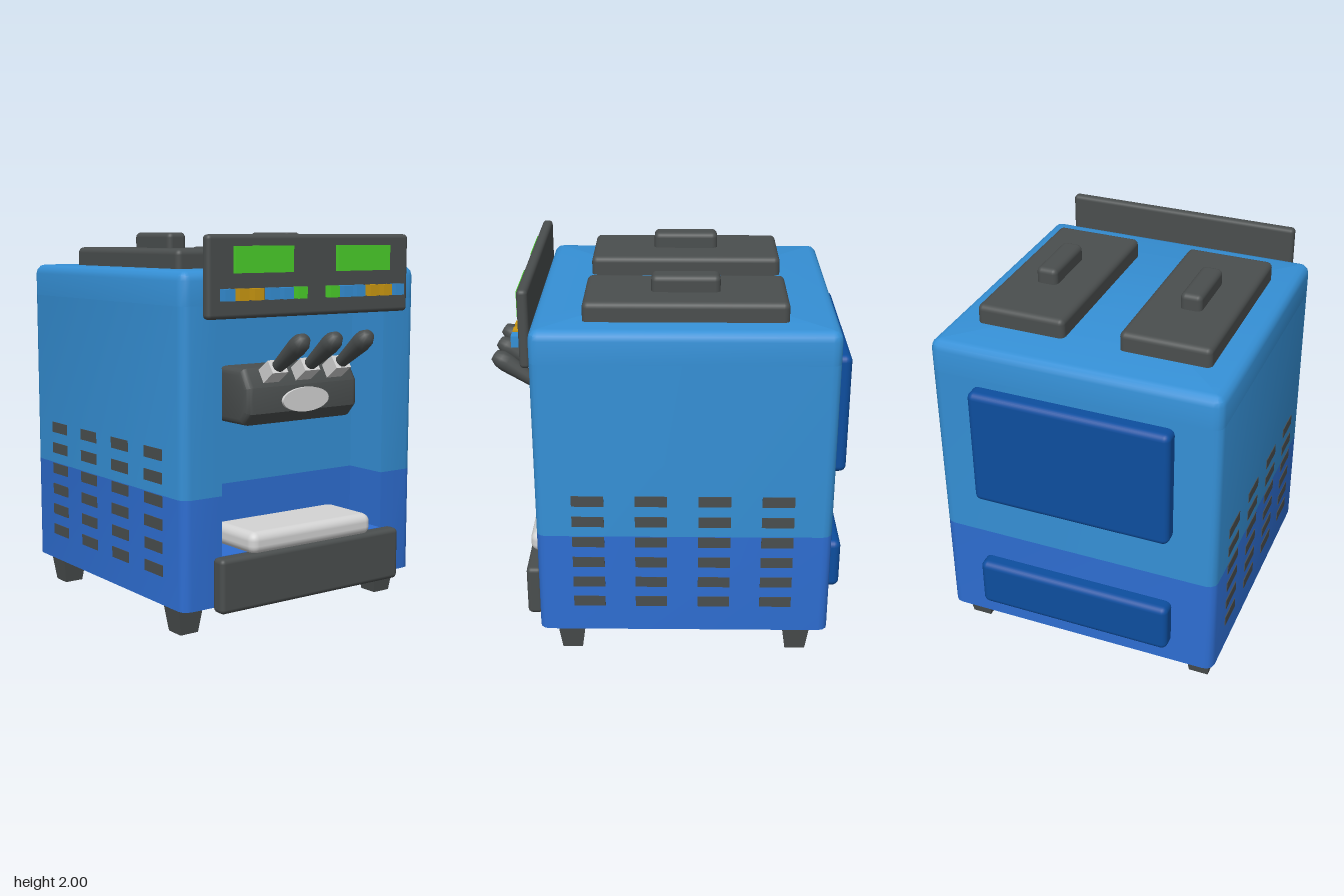
import * as THREE from 'three';
import { toCreasedNormals } from 'three/addons/utils/BufferGeometryUtils.js';
import { RoundedBoxGeometry } from 'three/addons/geometries/RoundedBoxGeometry.js';

const material = (name, color, side = THREE.FrontSide) => {
  const m = new THREE.MeshStandardMaterial({ color, side });
  m.name = name;
  return m;
};

export function createModel() {
  const model = new THREE.Group();
  model.name = 'softServeMachine';

  const upperBlue = material('upper blue', 0x3590d6, THREE.DoubleSide);
  const lowerBlue = material('lower blue', 0x2e6ed2, THREE.DoubleSide);
  const navy = material('navy', 0x0d4e9f);
  const charcoal = material('charcoal', 0x4a4e4e);
  const silver = material('silver', 0xd4d4d4);
  const green = material('green', 0x4bd02b);
  const amber = material('amber', 0xcc9912);

  const add = (name, geometry, mat, x = 0, y = 0, z = 0, parent = model) => {
    const mesh = new THREE.Mesh(geometry, mat);
    mesh.name = name;
    mesh.position.set(x, y, z);
    parent.add(mesh);
    return mesh;
  };
  // Boxes given by their limits on each axis; r > 0 rounds the edges
  const block = (name, mat, [x0, x1], [y0, y1], [z0, z1], r = 0) => {
    const size = [x1 - x0, y1 - y0, z1 - z0];
    const geo = r ? new RoundedBoxGeometry(...size, 3, r) : new THREE.BoxGeometry(...size);
    return add(name, geo, mat, (x0 + x1) / 2, (y0 + y1) / 2, (z0 + z1) / 2);
  };

  // Cabinet dimensions
  const W = 0.76, FRONT = 0.67, BACK = -0.85, R = 0.05;
  const BASE = 0.15, SPLIT = 0.71, TOP = 1.82;
  const NICHE = 0.53, NICHE_BACK = 0.42, NICHE_FLOOR = 0.37, NICHE_TOP = 1.65;

  // Rounded plan of the cabinet, from one side of the front opening round to the other
  const plan = (inset = 0) => {
    const pts = [[NICHE, FRONT - inset]];
    const corners = [[W - R, FRONT - R, 90], [W - R, BACK + R, 0],
      [-W + R, BACK + R, -90], [-W + R, FRONT - R, -180]];
    const r = R - inset;
    for (const [cx, cz, start] of corners) {
      for (let k = 0; k <= 3; k++) {
        const a = THREE.MathUtils.degToRad(start - k * 30);
        pts.push([cx + r * Math.cos(a), cz + r * Math.sin(a)]);
      }
    }
    pts.push([-NICHE, FRONT - inset]);
    return pts;
  };
  const nichePlan = [[-NICHE, FRONT], [-NICHE, NICHE_BACK], [NICHE, NICHE_BACK], [NICHE, FRONT]];

  // Skin through a stack of rings, each { y, pts }
  const skin = (rings) => {
    const pos = [];
    for (let j = 0; j + 1 < rings.length; j++) {
      const lo = rings[j], hi = rings[j + 1];
      for (let i = 0; i + 1 < lo.pts.length; i++) {
        const v = (ring, n) => [ring.pts[n][0], ring.y, ring.pts[n][1]];
        const a = v(lo, i), b = v(lo, i + 1), c = v(hi, i + 1), d = v(hi, i);
        pos.push(...a, ...b, ...c, ...a, ...c, ...d);
      }
    }
    const geo = new THREE.BufferGeometry();
    geo.setAttribute('position', new THREE.Float32BufferAttribute(pos, 3));
    return toCreasedNormals(geo, 0.6);
  };
  const wall = (pts, y0, y1) => skin([{ y: y0, pts }, { y: y1, pts }]);

  // Cabinet walls, open underneath
  add('lowerCabinet', wall(plan(), BASE, SPLIT), lowerBlue);
  add('upperCabinet', wall(plan(), SPLIT, NICHE_TOP), upperBlue);

  // Closed cabinet top with a rounded rim
  const closed = (inset) => { const p = plan(inset); return [...p, p[0]]; };
  const topRings = [{ y: NICHE_TOP, pts: closed(0) }];
  for (let k = 0; k <= 3; k++) {
    const a = k * Math.PI / 6;
    topRings.push({ y: TOP - R + R * Math.sin(a), pts: closed(Math.min(R * (1 - Math.cos(a)), R - 0.001)) });
  }
  const rim = topRings[topRings.length - 1];
  topRings.push({ y: TOP, pts: rim.pts.map(() => [0, (FRONT + BACK) / 2]) });
  add('cabinetTop', skin(topRings), upperBlue);

  // Serving niche
  add('nicheLowerWalls', wall(nichePlan, NICHE_FLOOR, SPLIT), lowerBlue);
  add('nicheUpperWalls', wall(nichePlan, SPLIT, NICHE_TOP), upperBlue);
  block('nicheFloor', lowerBlue, [-NICHE, NICHE], [NICHE_FLOOR, 0.405], [NICHE_BACK, FRONT]);
  block('nicheCeiling', upperBlue, [-NICHE, NICHE], [NICHE_TOP, NICHE_TOP + 0.01], [NICHE_BACK, FRONT]);

  // Drip tray and its front housing
  block('dripHousing', charcoal, [-0.59, 0.59], [0.13, 0.41], [0.67, 0.755], 0.025);
  block('dripTray', silver, [-0.4, 0.4], [0.4, 0.515], [0.4, 0.75], 0.045);

  // Control panel with screens and buttons
  block('controlPanel', charcoal, [-0.65, 0.65], [1.585, 1.99], [0.67, 0.725], 0.022);
  for (const s of [-1, 1]) {
    block('screen', green, [s * 0.322 - 0.178, s * 0.322 + 0.178], [1.805, 1.935], [0.715, 0.745]);
    [[0.105, green], [0.193, upperBlue], [0.28, upperBlue], [0.375, amber], [0.465, amber], [0.55, upperBlue]]
      .forEach(([x, mat]) =>
        block('button', mat, [s * x - 0.029, s * x + 0.029], [1.674, 1.732], [0.715, 0.77]));
  }

  // Dispenser head: side profile (z, y) extruded across, with bevelled ends
  const profile = new THREE.Shape([[0.42, 1.07], [0.59, 1.07], [0.625, 1.11], [0.625, 1.22],
    [0.58, 1.29], [0.42, 1.29]].map(([z, y]) => new THREE.Vector2(-z, y)));
  const headGeo = new THREE.ExtrudeGeometry(profile, {
    depth: 0.65, bevelThickness: 0.04, bevelSize: 0.035, bevelSegments: 3,
  });
  headGeo.rotateY(Math.PI / 2);
  headGeo.translate(-0.325, 0, 0);
  add('dispenserHead', toCreasedNormals(headGeo, 0.6), charcoal);
  const badge = add('ovalPlate', new THREE.CylinderGeometry(1, 1, 0.02, 32), silver, 0, 1.153, 0.665);
  badge.rotation.x = Math.PI / 2;
  badge.scale.set(0.15, 1, 0.063);

  // Levers tilted forward, each with a silver collar
  const gripGeo = new THREE.LatheGeometry([[0, 0], [0.03, 0], [0.034, 0.05], [0.05, 0.22],
    [0.047, 0.26], [0.03, 0.295], [0, 0.3]].map(([x, y]) => new THREE.Vector2(x, y)), 16);
  for (const x of [-0.208, 0, 0.208]) {
    const lever = new THREE.Group();
    lever.name = 'lever';
    lever.position.set(x, 1.27, 0.61);
    lever.rotation.x = THREE.MathUtils.degToRad(54);
    add('leverCollar', new THREE.BoxGeometry(0.098, 0.13, 0.075), silver, 0, 0.05, 0, lever);
    add('leverGrip', gripGeo, charcoal, 0, 0.08, 0, lever);
    model.add(lever);
  }

  // Hopper lids with handles
  for (const s of [-1, 1]) {
    block('hopperLid', charcoal, [s * 0.38 - 0.235, s * 0.38 + 0.235], [1.78, 1.918], [-0.6, 0.415], 0.03);
    block('lidHandle', charcoal, [s * 0.389 - 0.057, s * 0.389 + 0.057], [1.88, 2], [-0.265, 0.08], 0.028);
  }

  // Rear access panels
  for (const y of [[0.965, 1.612], [0.275, 0.55]]) {
    block('rearPanel', navy, [-0.53, 0.53], y, [-0.93, -0.82], 0.035);
  }

  // Side vents
  for (const s of [-1, 1]) for (const z of [0.402, 0.079, -0.245, -0.568]) {
    for (let row = 0; row < 6; row++) {
      add('vent', new THREE.BoxGeometry(0.008, 0.058, 0.165), charcoal, s * W, 0.325 + row * 0.1175, z);
    }
  }

  // Tapered feet
  const footGeo = new THREE.CylinderGeometry(0.075 * Math.SQRT2, 0.053 * Math.SQRT2, 0.16, 4, 1)
    .toNonIndexed().rotateY(Math.PI / 4);
  footGeo.computeVertexNormals();
  for (const x of [-0.652, 0.652]) for (const z of [0.505, -0.687]) {
    add('foot', footGeo, charcoal, x, 0.08, z);
  }

  return model;
}
